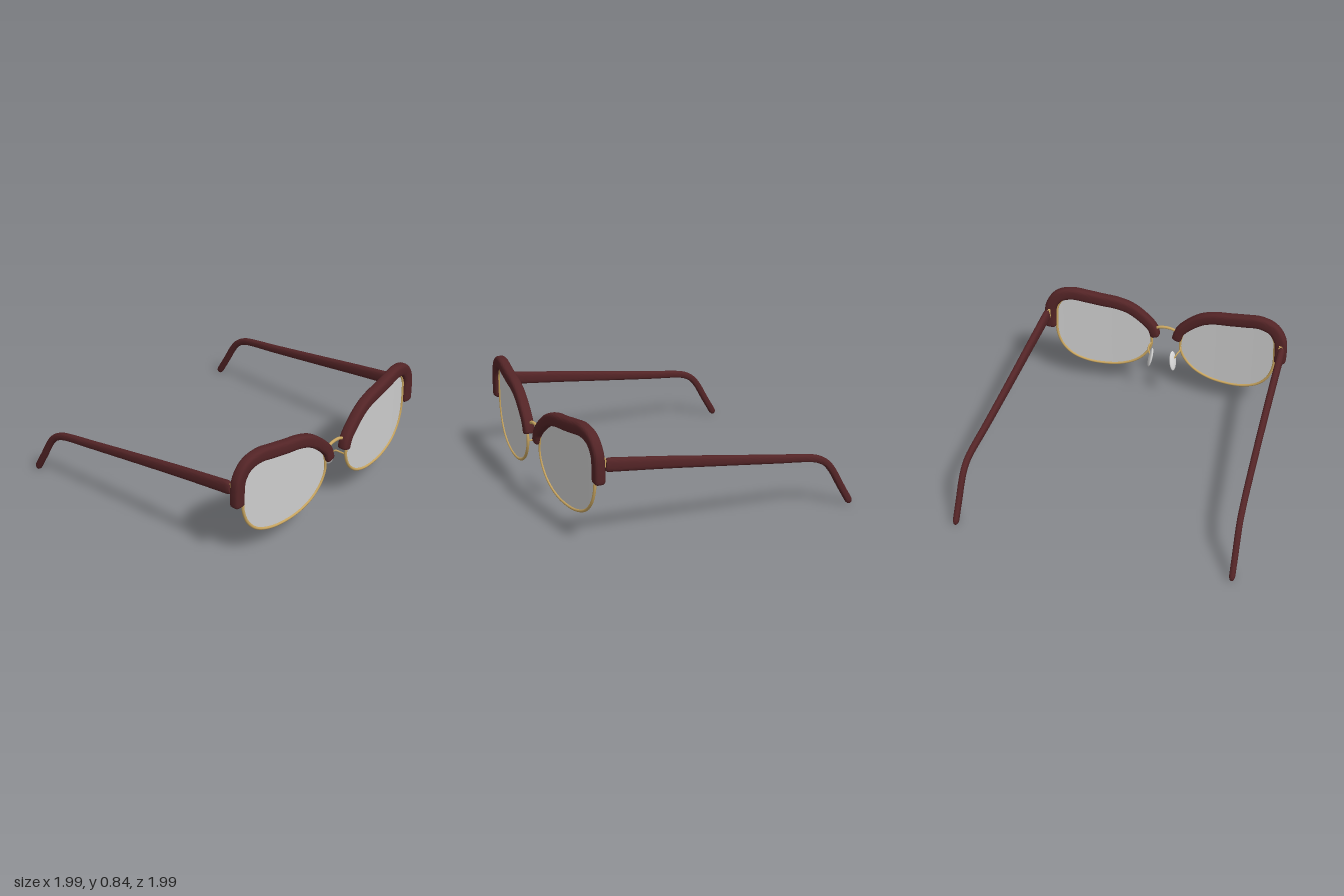
import * as THREE from 'three';
import { toCreasedNormals } from 'three/addons/utils/BufferGeometryUtils.js';

const mat = (name, color, side = THREE.FrontSide) => {
  const m = new THREE.MeshStandardMaterial({ color, side });
  m.name = name;
  return m;
};

// Depth of the gently wrapped front at a given distance from the middle
const wrap = (x) => 0.968 - 0.06 * Math.abs(x) - 0.04 * x * x;

// Sweeps a rounded-rectangle section along a curve.
// size(t) gives the half height (across) and half width (along axis).
function sweep(curve, axis, size, steps, power, roundTip) {
  const SIDES = 28, pos = [], idx = [];
  const stations = [[0, 0], [0, 0.8], [0.006, 0.95], [0.014, 1]];
  for (let i = 1; i < steps; i++) stations.push([0.014 + (0.95 * i) / steps, 1]);
  if (roundTip) {
    for (let i = 0; i <= 8; i++) {
      const a = (i / 8) * Math.PI / 2;
      stations.push([0.98 + 0.02 * Math.sin(a), Math.cos(a)]);
    }
  } else stations.push([0.986, 1], [0.994, 0.95], [1, 0.8], [1, 0]);
  const soft = (v) => Math.sign(v) * Math.abs(v) ** power;
  for (const [t, k] of stations) {
    const p = curve.getPointAt(t), T = curve.getTangentAt(t);
    const N = new THREE.Vector3().crossVectors(T, axis).normalize();
    const B = new THREE.Vector3().crossVectors(N, T);
    const [h, w] = size(t);
    for (let j = 0; j < SIDES; j++) {
      const a = (j / SIDES) * Math.PI * 2;
      const q = p.clone().addScaledVector(N, h * k * soft(Math.cos(a))).addScaledVector(B, w * k * soft(Math.sin(a)));
      pos.push(q.x, q.y, q.z);
    }
  }
  for (let i = 0; i < stations.length - 1; i++) {
    for (let j = 0; j < SIDES; j++) {
      const a = i * SIDES + j, b = i * SIDES + ((j + 1) % SIDES);
      idx.push(a, a + SIDES, b, b, a + SIDES, b + SIDES);
    }
  }
  const g = new THREE.BufferGeometry();
  g.setAttribute('position', new THREE.Float32BufferAttribute(pos, 3));
  g.setIndex(idx);
  return toCreasedNormals(g, 0.75);
}

// Curved lens made of concentric rings inside the outline
function lensGeometry(outline, s) {
  const RINGS = 10, SEG = 96, pos = [], idx = [];
  const edge = outline.getSpacedPoints(SEG);
  for (let r = 0; r <= RINGS; r++) {
    for (let j = 0; j < SEG; j++) {
      const x = THREE.MathUtils.lerp(0.49 * s, edge[j].x, r / RINGS);
      const y = THREE.MathUtils.lerp(0.47, edge[j].y, r / RINGS);
      pos.push(x, y, wrap(x));
    }
  }
  for (let r = 0; r < RINGS; r++) {
    for (let j = 0; j < SEG; j++) {
      const a = r * SEG + j, b = r * SEG + ((j + 1) % SEG), c = a + SEG, d = b + SEG;
      if (s > 0) idx.push(a, d, c, a, b, d);
      else idx.push(a, c, d, a, d, b);
    }
  }
  const g = new THREE.BufferGeometry();
  g.setAttribute('position', new THREE.Float32BufferAttribute(pos, 3));
  g.setIndex(idx);
  g.computeVertexNormals();
  return g;
}

const BROW = [[0.9, 0.495], [0.9, 0.6], [0.888, 0.69], [0.83, 0.77], [0.73, 0.799], [0.62, 0.786], [0.5, 0.768],
  [0.38, 0.752], [0.28, 0.719], [0.18, 0.648], [0.108, 0.57], [0.083, 0.495]];
// Clockwise from the nose side
const LENS = [[0.118, 0.5], [0.14, 0.57], [0.2, 0.645], [0.29, 0.695], [0.4, 0.723], [0.52, 0.737], [0.64, 0.757],
  [0.73, 0.763], [0.805, 0.735], [0.845, 0.67], [0.853, 0.59], [0.856, 0.5], [0.848, 0.42], [0.81, 0.325],
  [0.735, 0.247], [0.62, 0.2], [0.49, 0.187], [0.35, 0.203], [0.23, 0.255], [0.15, 0.335], [0.114, 0.42]];
const TEMPLE = [[0.914, 0.618, 0.838], [0.925, 0.56, 0.42], [0.938, 0.497, 0], [0.953, 0.437, -0.4], [0.963, 0.406, -0.62],
  [0.967, 0.387, -0.7], [0.969, 0.348, -0.77], [0.971, 0.29, -0.82], [0.974, 0.16, -0.895], [0.977, 0.008, -0.985]];

export function createModel() {
  const model = new THREE.Group();
  model.name = 'eyeglasses';
  const frame = mat('dark red frame', 0x532426);
  const gold = mat('gold metal', 0xc8a560);
  const glass = mat('grey lens', 0xcdcdcd, THREE.DoubleSide);
  const clear = mat('pale pad', 0xd6d6d6);

  const add = (name, geometry, material, parent) => {
    const m = new THREE.Mesh(geometry, material);
    m.name = name;
    parent.add(m);
    return m;
  };
  const path = (pts, s, closed = false) => new THREE.CatmullRomCurve3(
    pts.map(([x, y, z]) => new THREE.Vector3(x * s, y, z ?? wrap(x))), closed);

  for (const s of [1, -1]) {
    const side = new THREE.Group();
    side.name = s > 0 ? 'leftSide' : 'rightSide';
    model.add(side);

    // Thick brow bar, a little slimmer at the nose
    add('browBar', sweep(path(BROW, s), new THREE.Vector3(0, 0, 1),
      (t) => [0.043 + 0.004 * Math.sin(t * Math.PI) - 0.006 * t * t * t, 0.037], 70, 0.6, false), frame, side);

    // Lens and thin wire rim
    const outline = path(LENS, s, true);
    add('lens', lensGeometry(outline, s), glass, side);
    add('rim', new THREE.TubeGeometry(outline, 120, 0.01, 10, true), gold, side);

    // Temple arm, tapering to the ear hook
    add('temple', sweep(path(TEMPLE, s), new THREE.Vector3(1, 0, 0),
      (t) => [0.047 - 0.022 * Math.min(1, t * 1.25), 0.026 - 0.006 * t], 80, 0.75, true), frame, side);

    // Hinge: plate and barrel
    add('hingePlate', new THREE.BoxGeometry(0.03, 0.05, 0.04), gold, side).position.set(0.905 * s, 0.625, 0.845);
    add('hingeBarrel', new THREE.CylinderGeometry(0.01, 0.01, 0.07, 12), gold, side).position.set(0.9 * s, 0.625, 0.842);

    // Nose pad on its wire
    const pad = add('nosePad', new THREE.SphereGeometry(1, 28, 18), clear, side);
    pad.scale.set(0.013, 0.077, 0.036);
    pad.position.set(0.088 * s, 0.377, 0.835);
    pad.rotation.set(0.2, 0.45 * s, 0.17 * s);
    add('padArm', new THREE.TubeGeometry(path([[0.116, 0.43, 0.957], [0.122, 0.425, 0.915],
      [0.114, 0.425, 0.87], [0.092, 0.39, 0.84]], s), 20, 0.006, 8), gold, side);
  }

  // Bridge wire
  add('bridge', new THREE.TubeGeometry(path([[-0.09, 0.57, 0.952], [-0.045, 0.588, 0.95], [0, 0.593, 0.95],
    [0.045, 0.588, 0.95], [0.09, 0.57, 0.952]], 1), 24, 0.011, 10), gold, model);
  return model;
}
